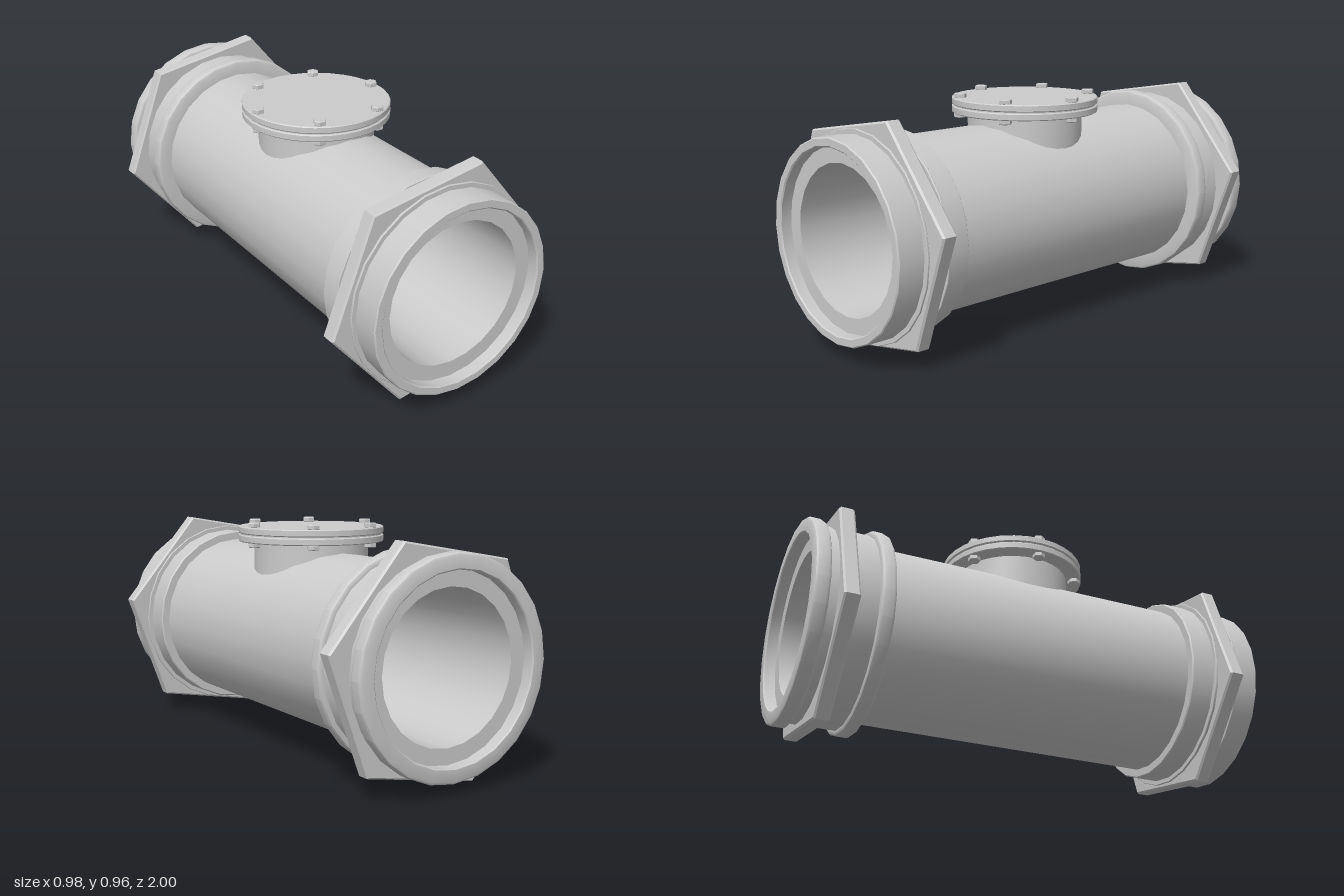
import * as THREE from 'three';
import { toCreasedNormals } from 'three/addons/utils/BufferGeometryUtils.js';

const AXIS_Y = 0.47; // height of the pipe axis
const material = new THREE.MeshStandardMaterial({ color: 0xcccccc });

function addMesh(parent, name, geometry) {
  const mesh = new THREE.Mesh(toCreasedNormals(geometry, Math.PI / 6), material);
  mesh.name = name;
  parent.add(mesh);
  return mesh;
}

// Turned shape from [radius, height] pairs, around y
function turned(profile, sides) {
  return new THREE.LatheGeometry(profile.map(([r, h]) => new THREE.Vector2(r, h)), sides);
}

// Ring or disc between two heights with small bevels on the outer edges
function ringProfile(inner, outer, h0, h1, b) {
  return [[inner, h0], [outer - b, h0], [outer, h0 + b], [outer, h1 - b], [outer - b, h1], [inner, h1]];
}

// Turned shape laid along the pipe (z)
function alongPipe(parent, name, profile, sides = 24, spin = 0) {
  const g = turned(profile, sides).rotateX(Math.PI / 2).rotateZ(spin);
  return addMesh(parent, name, g);
}

export function createModel() {
  const model = new THREE.Group();
  model.name = 'pipeFitting';

  const run = new THREE.Group();
  run.name = 'mainRun';
  run.position.y = AXIS_Y;
  model.add(run);

  // Hollow pipe, its ends set back inside the collars
  alongPipe(run, 'pipe', [
    [0.302, -0.95], [0.367, -0.95], [0.367, 0.95], [0.302, 0.95], [0.302, -0.95],
  ]);

  // Plain front collar with two thin washers
  alongPipe(run, 'frontCollar', [
    [0.36, 0.67], [0.4, 0.67], [0.405, 0.675], [0.405, 0.995], [0.4, 1],
    [0.372, 1], [0.367, 0.995], [0.367, 0.94],
  ]);
  for (const z of [0.775, 0.875]) {
    alongPipe(run, 'frontWasher', ringProfile(0.39, 0.425, z, z + 0.01, 0.002));
  }

  // Back collar: rounded end flange, neck and rounded inner ring
  const b = 0.012;
  alongPipe(run, 'backCollar', [
    [0.367, -0.94], [0.367, -0.995], [0.372, -1], [0.43 - b, -1], [0.426, -0.996], [0.43, -1 + b],
    [0.43, -0.935 - b], [0.426, -0.939], [0.43 - b, -0.935], [0.408, -0.935],
    [0.408, -0.737], [0.43 - b, -0.737], [0.426, -0.733 + 0], [0.43, -0.737 + b],
    [0.43, -0.675 - b], [0.426, -0.679], [0.43 - b, -0.675], [0.36, -0.675],
  ]);

  // Hexagonal clamping nuts
  for (const [name, z] of [['frontNut', 0.833], ['backNut', -0.867]]) {
    alongPipe(run, name, ringProfile(0.38, 0.5, z - 0.033, z + 0.033, 0.008), 6, -Math.PI / 9);
  }

  const hatch = new THREE.Group();
  hatch.name = 'inspectionHatch';
  model.add(hatch);

  // Branch neck, its lower rim following the pipe wall
  const neck = new THREE.CylinderGeometry(0.245, 0.245, 1, 32, 1, true);
  const p = neck.attributes.position;
  for (let i = 0; i < p.count; i++) {
    const x = p.getX(i);
    p.setY(i, p.getY(i) > 0 ? 0.88 : AXIS_Y + Math.sqrt(0.34 ** 2 - x * x));
  }
  addMesh(hatch, 'branchNeck', neck);

  // Flange, gasket and cover plate
  addMesh(hatch, 'branchFlange', turned(ringProfile(0, 0.312, 0.875, 0.905, 0.004), 32));
  addMesh(hatch, 'gasket', new THREE.CylinderGeometry(0.304, 0.304, 0.012, 32).translate(0, 0.9075, 0));
  addMesh(hatch, 'coverPlate', turned(ringProfile(0, 0.312, 0.91, 0.94, 0.004), 32));

  // Six bolts with heads above and nuts below
  for (let i = 0; i < 6; i++) {
    const a = (i * Math.PI) / 3;
    for (const [name, y] of [['boltHead', 0.938], ['boltNut', 0.856]]) {
      const g = turned(ringProfile(0, 0.027, 0, 0.021, 0.003), 6).rotateY(Math.PI / 6);
      addMesh(hatch, name, g).position.set(0.28 * Math.cos(a), y, 0.28 * Math.sin(a));
    }
  }
  return model;
}
